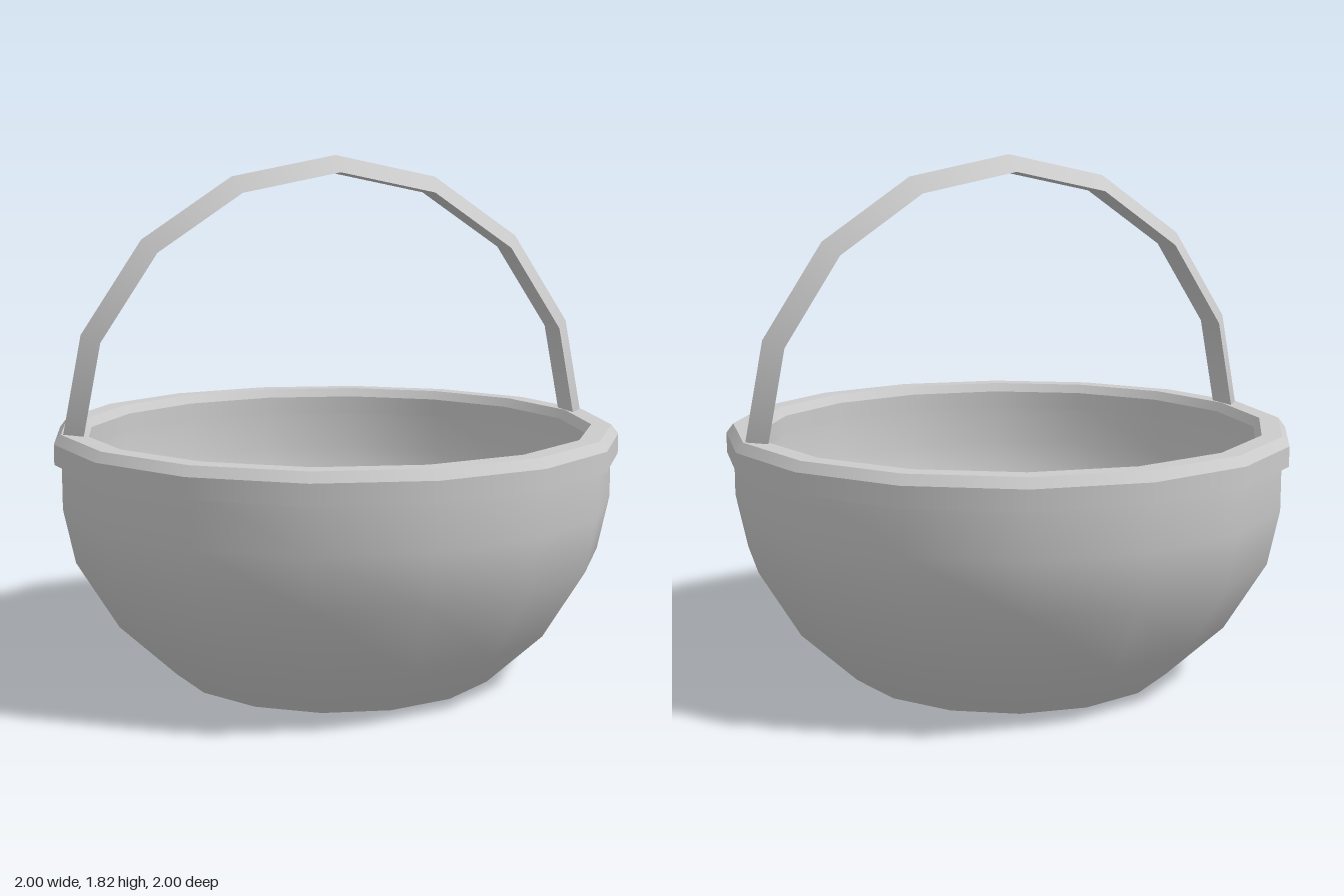
import * as THREE from 'three';
import { mergeGeometries } from 'three/addons/utils/BufferGeometryUtils.js';

const SIDES = 16;

// Each strip is a short profile of [radius, height] pairs: smooth within a strip, sharp between strips.
function turned(strips, segments = SIDES, start = 0, length = Math.PI * 2) {
  return mergeGeometries(strips.map((strip) => new THREE.LatheGeometry(
    strip.map(([r, y]) => new THREE.Vector2(r, y)), segments, start, length)));
}

// Splits a closed or open outline into one sharp-edged strip per edge.
const edges = (outline) => outline.slice(1).map((p, i) => [outline[i], p]);

export function createModel() {
  const group = new THREE.Group();
  const material = new THREE.MeshStandardMaterial({ color: 0xcccccc });
  const add = (name, geometry) => {
    const mesh = new THREE.Mesh(geometry, material);
    mesh.name = name;
    group.add(mesh);
  };

  // Hollow bowl: underside, outer wall, inner wall, floor
  add('bowl', turned([
    [[0, 0], [0.59, 0]],
    [[0.59, 0], [0.79, 0.19], [0.935, 0.43], [0.975, 0.62], [0.975, 0.8]],
    [[0.905, 0.8], [0.905, 0.63], [0.868, 0.46], [0.735, 0.235], [0.56, 0.07]],
    [[0.56, 0.07], [0, 0.07]],
  ]));

  // Rim band with chamfered top edges
  add('rim', turned(edges([
    [0.885, 0.775], [1, 0.775], [1, 0.845], [0.975, 0.877],
    [0.905, 0.877], [0.885, 0.845], [0.885, 0.775],
  ])));

  // Arched handle of triangular section, its ends sunk into the rim
  const handle = turned(edges([
    [0.915, -0.062], [0.975, 0], [0.915, 0.062], [0.915, -0.062],
  ]), SIDES / 2, -Math.PI / 2, Math.PI);
  handle.rotateX(-Math.PI / 2).translate(0, 0.84, 0);
  add('handle', handle);

  return group;
}
